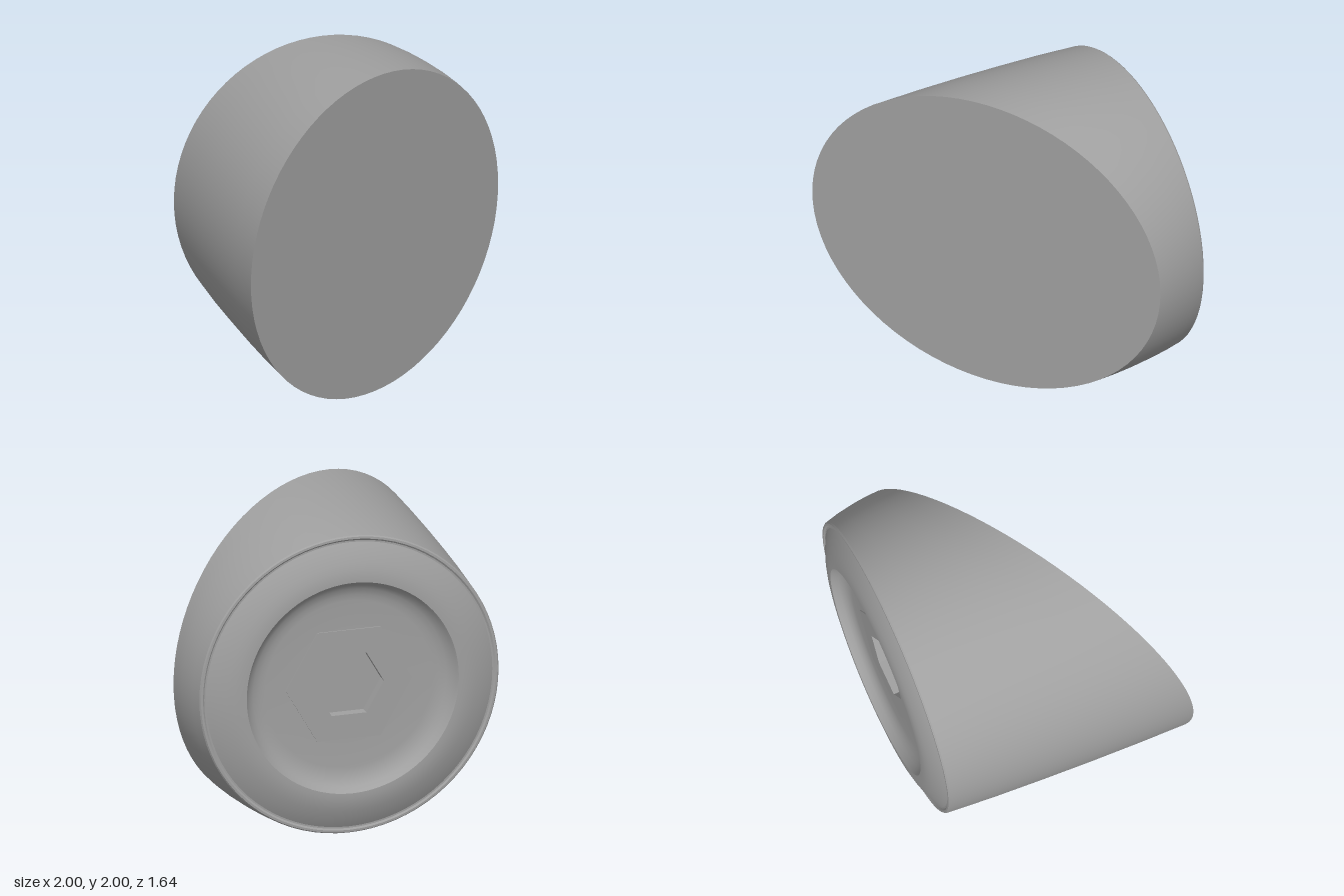
import * as THREE from 'three';
import { toCreasedNormals } from 'three/addons/utils/BufferGeometryUtils.js';

const SEGMENTS = 80;
const BACK = -0.75;
const cutZ = (x) => 0.2 - 0.62 * x; // slanted front plane

// Hexagon outline with corners on the x axis
function hexagon(r, Type = THREE.Shape) {
  const pts = [];
  for (let i = 0; i < 6; i++) {
    const a = (i * Math.PI) / 3;
    pts.push(new THREE.Vector2(r * Math.cos(a), r * Math.sin(a)));
  }
  return new Type(pts);
}

// Revolve [radius, z] points around the z axis, running from front to back
function revolve(points) {
  const g = new THREE.LatheGeometry(points.map(([r, z]) => new THREE.Vector2(r, -z)), SEGMENTS);
  return g.rotateX(-Math.PI / 2);
}

export function createModel() {
  const group = new THREE.Group();
  const grey = new THREE.MeshStandardMaterial({ color: 0xa0a0a0 });
  grey.name = 'plain grey';

  const add = (name, geometry) => {
    const mesh = new THREE.Mesh(geometry, grey);
    mesh.name = name;
    mesh.position.y = 1;
    group.add(mesh);
  };

  // Side wall: rings blend from the slanted front to the flat back
  const wall = revolve([
    [1, 1], [0.997, 0.8], [0.99, 0.6], [0.979, 0.4], [0.965, 0.2], [0.945, 0],
  ]);
  const p = wall.attributes.position;
  for (let i = 0; i < p.count; i++) {
    p.setZ(i, BACK + p.getZ(i) * (cutZ(p.getX(i)) - BACK));
  }
  add('sideWall', toCreasedNormals(wall, 0.5));

  // Slanted front face
  const face = new THREE.CircleGeometry(1, SEGMENTS);
  const f = face.attributes.position;
  for (let i = 0; i < f.count; i++) f.setZ(i, cutZ(f.getX(i)));
  face.computeVertexNormals();
  add('slantedFace', face);

  // Back: bevelled edge, rounded shoulder, lip and dished centre
  add('backDish', toCreasedNormals(revolve([
    [0.945, -0.75], [0.938, -0.759], [0.925, -0.76], [0.915, -0.752], [0.905, -0.752],
    [0.88, -0.766], [0.84, -0.785], [0.79, -0.805], [0.745, -0.818], [0.7, -0.825],
    [0.67, -0.825], [0.66, -0.812], [0.64, -0.785], [0.61, -0.764], [0.57, -0.75],
    [0.53, -0.745], [0.3, -0.745],
  ]), 0.5));

  // Raised hexagon plate with a hexagonal socket
  const plate = hexagon(0.4);
  plate.holes.push(hexagon(0.22, THREE.Path));
  const plateGeometry = new THREE.ExtrudeGeometry(plate, { depth: 0.08, bevelEnabled: false });
  add('hexPlate', plateGeometry.translate(0, 0, -0.753));

  // Socket floor
  const floor = new THREE.CircleGeometry(0.225, 6).rotateY(Math.PI);
  add('socketFloor', floor.translate(0, 0, -0.69));

  return group;
}
